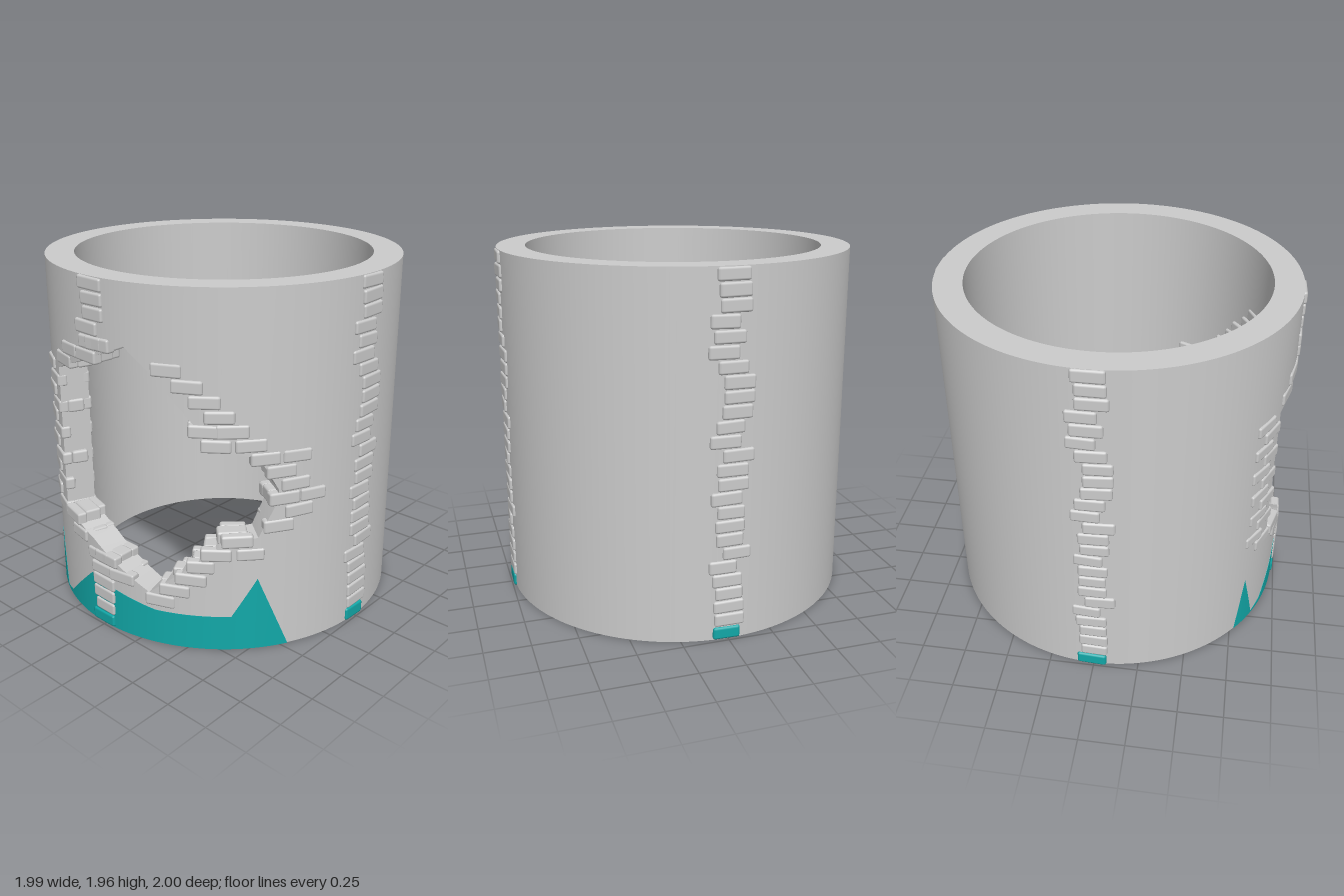
import * as THREE from 'three';
import { toCreasedNormals } from 'three/addons/utils/BufferGeometryUtils.js';
import { RoundedBoxGeometry } from 'three/addons/geometries/RoundedBoxGeometry.js';

const R = 0.983, r = 0.825, H = 1.96, ROWS = 26, ROW = H / ROWS;
const rad = THREE.MathUtils.degToRad;

// Edges of the broken opening: [azimuth in degrees (0 = front, 90 = +x), height]
const LEFT = -112, RIGHT = -32;
const SILL = [[-112, 0.6], [-94, 0.5], [-72, 0.3], [-54, 0.55], [-48, 0.64], [-38, 0.66], [-32, 0.86]];
const HEAD = [[-112, 1.4], [-94, 1.52], [-78, 1.64], [-68, 1.5], [-54, 1.22], [-48, 1.14], [-38, 1.1], [-32, 0.92]];
const STAIN = [[-128, 0], [-124, 0.34], [-118, 0.01], [-112, 0.03], [-96, 0.28], [-70, 0.2], [-46, 0.2], [-38, 0.42], [-28, 0]];

// Piecewise linear height along a list of knots
function heightAt(knots, a) {
  for (let i = 1; i < knots.length; i++) {
    const [a0, h0] = knots[i - 1], [a1, h1] = knots[i];
    if (a <= a1) return h0 + (h1 - h0) * (a - a0) / (a1 - a0);
  }
  return knots[knots.length - 1][1];
}

const isOpen = (a, y) =>
  a > LEFT && a < RIGHT && y > heightAt(SILL, a) && y < heightAt(HEAD, a);

let seed = 7;
function jitter(amount) {
  seed = (seed * 16807) % 2147483647;
  return (seed / 2147483647 * 2 - 1) * amount;
}

// Sweep a rectangular wall section, of varying bottom and top, around the axis
function sweep(out, a0, a1, lo, hi, outer, inner, caps) {
  const section = a => {
    const s = Math.sin(rad(a)), c = Math.cos(rad(a));
    return [[outer, lo(a)], [outer, hi(a)], [inner, hi(a)], [inner, lo(a)]]
      .map(([d, y]) => [d * s, y, d * c]);
  };
  const quad = (p, q, s, t) => [p, q, s, p, s, t].forEach(v => out.push(...v));
  for (let a = a0; a < a1; a += 2) {
    const A = section(a), B = section(a + 2);
    for (let i = 0; i < 4; i++) {
      const j = (i + 1) % 4;
      quad(A[i], B[i], B[j], A[j]);
    }
  }
  if (caps) {
    quad(...section(a0));
    quad(...section(a1).reverse());
  }
}

function sweptGeometry(positions) {
  const g = new THREE.BufferGeometry();
  g.setAttribute('position', new THREE.Float32BufferAttribute(positions, 3));
  return toCreasedNormals(g, rad(35));
}

export function createModel() {
  const model = new THREE.Group();
  const stone = new THREE.MeshStandardMaterial({ color: 0xcccccc });
  const teal = new THREE.MeshStandardMaterial({ color: 0x12a8a8 });

  const add = (parent, name, geometry, material) => {
    const mesh = new THREE.Mesh(geometry, material);
    mesh.name = name;
    parent.add(mesh);
    return mesh;
  };
  const group = name => {
    const g = new THREE.Group();
    g.name = name;
    model.add(g);
    return g;
  };

  // Round wall: the solid run, then the parts below and above the opening
  const floor = () => 0.002, top = () => H;
  const wall = [];
  sweep(wall, RIGHT, LEFT + 360, floor, top, R, r, true);
  sweep(wall, LEFT, RIGHT, floor, a => heightAt(SILL, a), R, r, false);
  sweep(wall, LEFT, RIGHT, a => heightAt(HEAD, a), top, R, r, false);
  add(model, 'towerWall', sweptGeometry(wall), stone);

  // Coloured underside and stain at the foot of the wall
  add(model, 'underside', new THREE.RingGeometry(r, R, 120).rotateX(Math.PI / 2), teal);
  const stain = [];
  sweep(stain, -128, -28, () => 0, a => heightAt(STAIN, a), R + 0.002, R - 0.002, false);
  add(model, 'wallStain', sweptGeometry(stain), teal);

  // One worn brick, its broad face turned away from the axis
  function brick(parent, name, a, y, radius, width, depth, material) {
    const geometry = new RoundedBoxGeometry(width, ROW - 0.004 + jitter(0.003), depth, 1, 0.013);
    const mesh = add(parent, name, geometry, material);
    mesh.position.set(radius * Math.sin(rad(a)), y, radius * Math.cos(rad(a)));
    mesh.rotation.set(0, rad(a) + jitter(0.03), jitter(0.025), 'YXZ');
  }

  // Four vertical brick strips, with the same sideways wander
  const wander = [-0.01, 0.005, 0, 0, -0.01, -0.035, 0.04, 0, 0, 0.005, -0.02, 0.015, 0.01,
    0.04, -0.03, -0.005, 0.03, 0.04, 0.04, 0.005, -0.045, -0.015, -0.04, 0.015, 0.01, 0];
  ['front', 'left', 'back', 'right'].forEach((side, i) => {
    const strip = group(side + 'BrickStrip');
    wander.forEach((shift, row) => {
      const a = (side === 'right' ? -90 : i * 90) + THREE.MathUtils.radToDeg(shift / R);
      const y = (row + 0.5) * ROW;
      if (side === 'right' && y > 0.42 && y < 1.62) return;
      brick(strip, 'stripBrick', a, y, R - 0.014, 0.16 + jitter(0.013), 0.05, row ? stone : teal);
    });
  });

  // Staggered bricks framing the opening, on the outer face, in the reveal and inside
  const frame = group('openingBricks');
  const layers = [
    { name: 'outerBrick', radius: 0.965, depth: 0.056, width: 0.16, reach: 12 },
    { name: 'revealBrick', radius: 0.9, depth: 0.09, width: 0.15, reach: 6 },
    { name: 'innerBrick', radius: 0.836, depth: 0.056, width: 0.14, reach: 12 },
  ];
  for (const { name, radius, depth, width, reach } of layers) {
    for (let row = 1; row < ROWS - 1; row++) {
      const y = (row + 0.5) * ROW;
      for (let a = -140 + (row % 2) * 4.75; a < -8; a += 9.5) {
        if (isOpen(a, y)) continue;
        const nearEdge = isOpen(a - reach, y) || isOpen(a + reach, y)
          || isOpen(a, y - ROW * 1.2) || isOpen(a, y + ROW * 1.2);
        if (!nearEdge) continue;
        brick(frame, name, a + jitter(1), y, radius + jitter(0.003), width + jitter(0.012), depth, stone);
      }
    }
  }
  return model;
}
